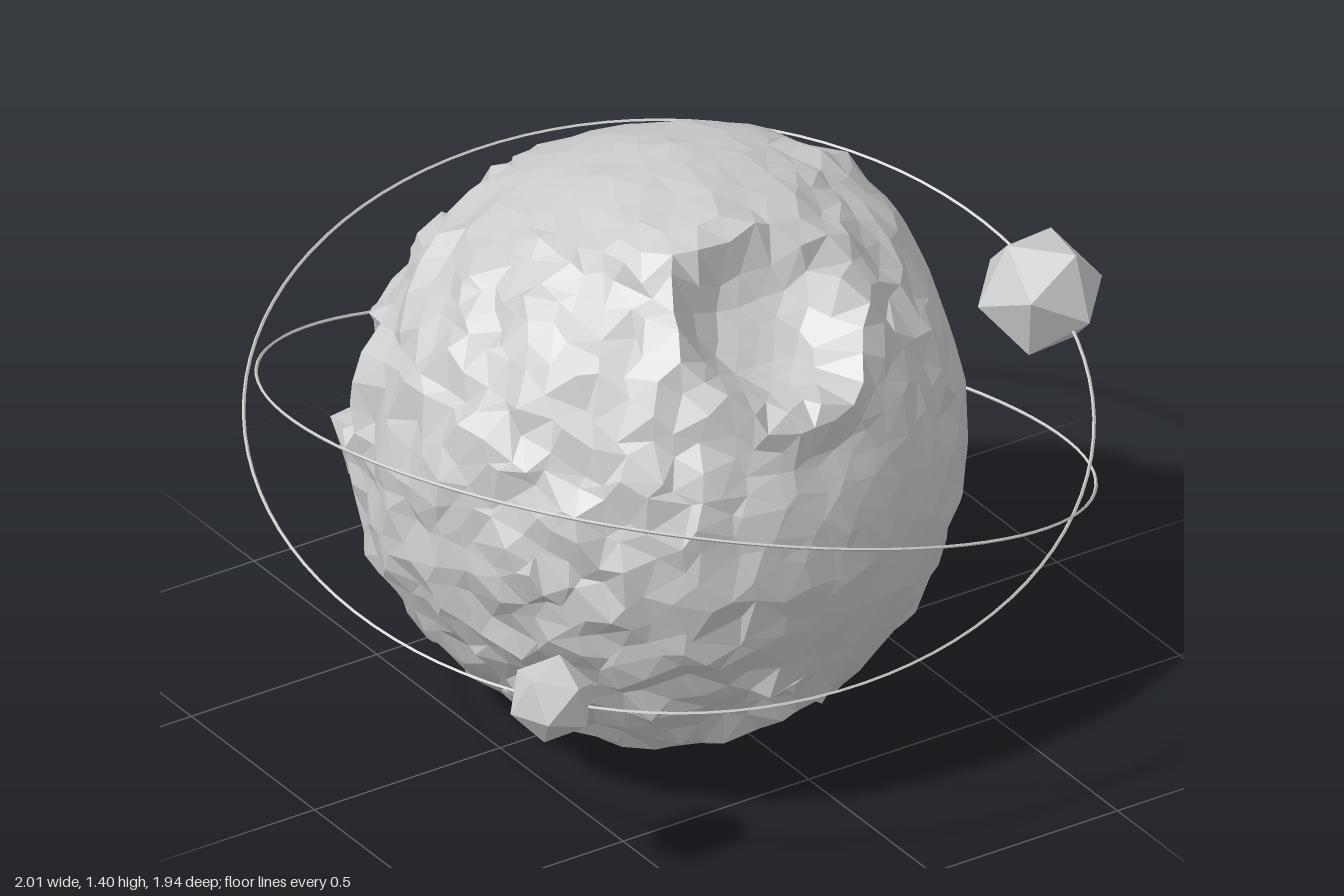
import * as THREE from 'three';

const V = (x, y, z) => new THREE.Vector3(x, y, z);
const grey = new THREE.MeshStandardMaterial({ color: 0xcccccc, flatShading: true });
const CENTRE = V(-0.1, 0.712, 0.035);
const RADIUS = 0.694;

// Craters: direction from the planet centre, radius, depth and rim height
const craters = [
  { dir: V(0.01, 0.51, 0.45), r: 0.21, depth: 0.11, rim: 0.036 },
  { dir: V(-0.08, -0.47, 0.5), r: 0.14, depth: 0.06, rim: 0.015 },
  { dir: V(0.58, -0.33, -0.24), r: 0.11, depth: 0.09, rim: 0.012 },
  { dir: V(-0.2, 0.46, -0.38), r: 0.085, depth: 0.1, rim: 0.015 },
  { dir: V(-0.52, 0.15, -0.33), r: 0.12, depth: 0.11, rim: 0.04 },
];
// Broad swells and hollows of the ground
const hills = [
  { dir: V(0.55, 0.52, -0.05), r: 0.26, height: 0.055 },
  { dir: V(-0.37, 0.12, -0.52), r: 0.18, height: -0.06 },
  { dir: V(-0.6, -0.36, 0.1), r: 0.25, height: -0.025 },
];
// Calm patches where the rocky surface is smoother
const calm = [V(0, 1, -0.15), V(0.2, -0.05, 1), V(1, 0.25, 0.2), V(0.5, -0.4, -1)];
[...craters, ...hills].forEach((c) => c.dir.normalize());
calm.forEach((d) => d.normalize());

// Repeatable noise from overlapping waves, about -1 to 1
function noise(p, f, s) {
  return (Math.sin(p.x * f + s + 2 * Math.sin(p.y * f * 0.7 + s)) +
    Math.sin(p.y * f * 1.1 + s * 2 + 2 * Math.sin(p.z * f * 0.8)) +
    Math.sin(p.z * f * 0.9 + s * 3 + 2 * Math.sin(p.x * f * 0.75))) / 3;
}

// Moves one unit direction onto the rocky, cratered surface
function rockySurface(d) {
  const near = Math.max(...calm.map((c) => c.dot(d)));
  let rough = 1 - THREE.MathUtils.smoothstep(near, 0.76, 0.95);
  let shift = 0.05;
  // Bowls stay clean
  for (const c of craters) {
    const bowl = THREE.MathUtils.smoothstep(d.angleTo(c.dir) * RADIUS / c.r, 0.8, 1.2);
    rough *= bowl;
    shift *= 0.4 + 0.6 * bowl;
  }
  const p = d.clone();
  p.x += noise(d, 41, 1) * shift;
  p.y += noise(d, 39, 4) * shift;
  p.z += noise(d, 43, 7) * shift;
  p.normalize();

  let h = RADIUS + 0.006 * noise(p, 5, 2) + (0.006 + 0.019 * rough) * noise(p, 24, 5);
  for (const c of craters) {
    const t = p.angleTo(c.dir) * RADIUS / c.r;
    if (t < 1) h -= c.depth * (1 - t ** 4);
    h += c.rim * Math.exp(-(((t - 1.15) / 0.2) ** 2));
  }
  for (const c of hills) {
    h += c.height * Math.exp(-((p.angleTo(c.dir) * RADIUS / c.r) ** 2));
  }
  return p.multiplyScalar(h);
}

function makePlanet() {
  const geo = new THREE.IcosahedronGeometry(1, 12);
  const pos = geo.attributes.position;
  const d = V(0, 0, 0);
  for (let i = 0; i < pos.count; i++) {
    const p = rockySurface(d.fromBufferAttribute(pos, i).normalize());
    pos.setXYZ(i, p.x, p.y, p.z);
  }
  geo.computeVertexNormals();
  const planet = new THREE.Mesh(geo, grey);
  planet.name = 'planet';
  planet.position.copy(CENTRE);
  return planet;
}

// Thin orbit ring lying in a plane with the given slopes along x and z
function makeRing(name, centre, radius, slopeX, slopeZ) {
  const ring = new THREE.Mesh(new THREE.TorusGeometry(radius, 0.004, 4, 96), grey);
  ring.name = name;
  ring.position.copy(centre);
  ring.quaternion.setFromUnitVectors(V(0, 0, 1), V(-slopeX, 1, -slopeZ).normalize());
  return ring;
}

// Faceted moon
function makeMoon(name, centre, radius, turn) {
  const moon = new THREE.Mesh(new THREE.IcosahedronGeometry(radius, 0), grey);
  moon.name = name;
  moon.position.copy(centre);
  moon.rotation.set(turn, turn * 0.6, turn * 0.3);
  return moon;
}

export function createModel() {
  const group = new THREE.Group();
  group.name = 'planetWithMoons';
  group.add(
    makePlanet(),
    makeRing('upperOrbit', V(-0.04, 0.702, 0.022), 0.952, -0.272, 0.15),
    makeRing('lowerOrbit', V(-0.053, 0.73, 0.012), 0.955, 0.12, -0.22),
    makeMoon('largeMoon', V(0.855, 0.83, 0.15), 0.15, 0.75),
    makeMoon('mediumMoon', V(-0.768, 0.52, 0.615), 0.102, 1.1),
    makeMoon('smallMoon', V(-0.03, 0.565, -0.908), 0.067, 0.8),
  );
  return group;
}
